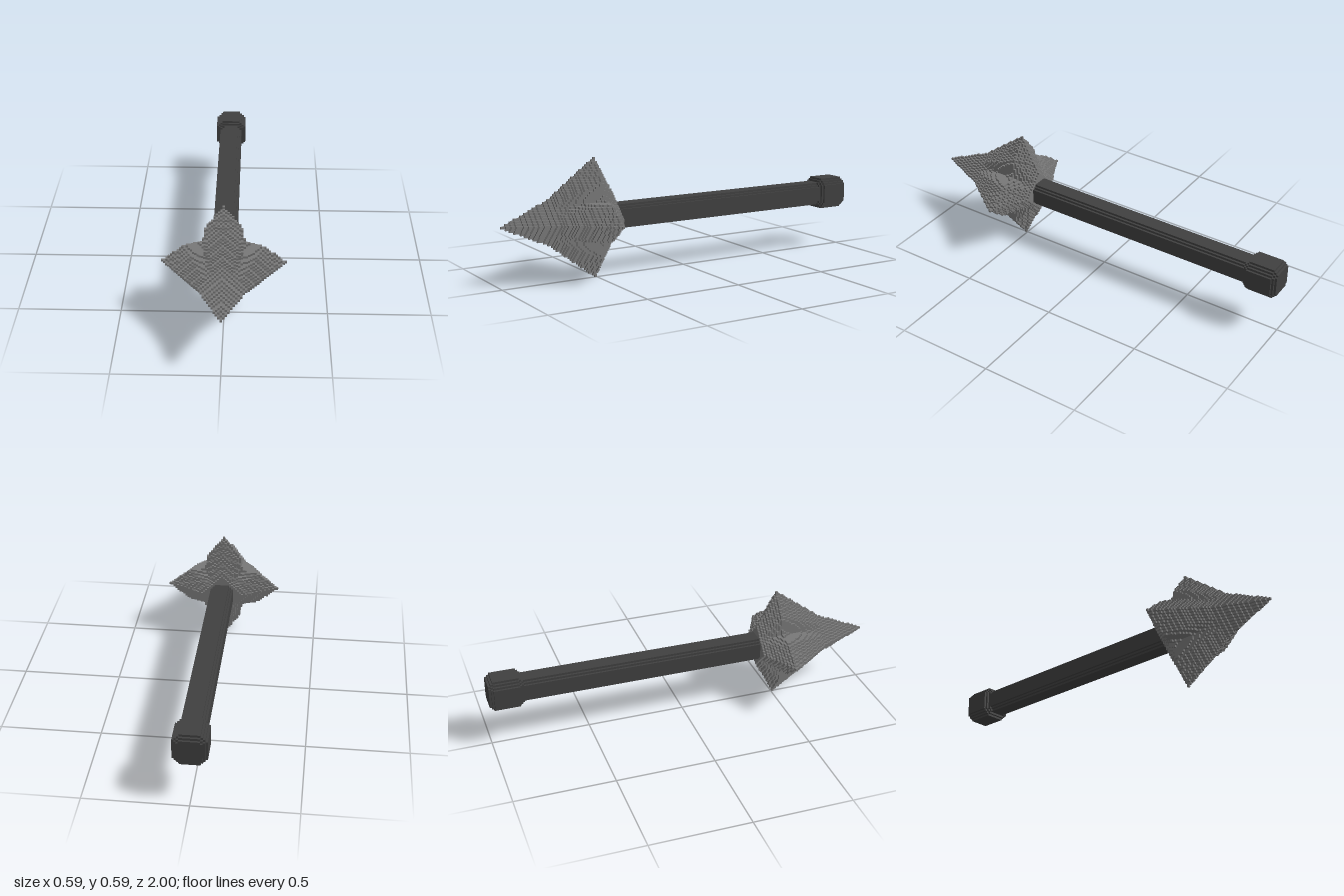
import * as THREE from 'three';

// The arrow is made of small cubes: 185 layers long, 55 cells across the head
const LAYERS = 185, CELL = 2 / LAYERS, MID_Y = 27.5 * CELL;

// Skin of all cells (i, j, k) for which inside(i, j, k) is true
function cubeSkin(name, color, k0, k1, reach, inside) {
  const solid = (c) => c[2] >= k0 && c[2] <= k1 && inside(Math.abs(c[0]), Math.abs(c[1]), c[2]);
  const pos = [], nor = [], index = [];
  const addFace = (cell, axis, sign) => {
    const u = (axis + 1) % 3, v = (axis + 2) % 3, start = pos.length / 3;
    for (const [a, b] of [[-1, -1], [1, -1], [1, 1], [-1, 1]]) {
      const p = [...cell], n = [0, 0, 0];
      p[axis] += sign / 2;
      p[u] += (a * sign) / 2;
      p[v] += b / 2;
      n[axis] = sign;
      pos.push(p[0] * CELL, p[1] * CELL + MID_Y, (p[2] + 0.5) * CELL - 1);
      nor.push(...n);
    }
    index.push(start, start + 1, start + 2, start, start + 2, start + 3);
  };
  for (let k = k0; k <= k1; k++)
    for (let i = -reach; i <= reach; i++)
      for (let j = -reach; j <= reach; j++) {
        const cell = [i, j, k];
        if (!solid(cell)) continue;
        for (let axis = 0; axis < 3; axis++)
          for (const sign of [-1, 1]) {
            const next = [...cell];
            next[axis] += sign;
            if (!solid(next)) addFace(cell, axis, sign);
          }
      }
  const geo = new THREE.BufferGeometry();
  geo.setAttribute('position', new THREE.Float32BufferAttribute(pos, 3));
  geo.setAttribute('normal', new THREE.Float32BufferAttribute(nor, 3));
  geo.setIndex(index);
  const mesh = new THREE.Mesh(geo, new THREE.MeshStandardMaterial({ color }));
  mesh.name = name;
  return mesh;
}

// Head sections: layer, blade reach, shoulder distance, shoulder half width, notch
const SECTIONS = [
  [130, 10.2, 7.2, 3.4, 5.2],
  [139, 27.3, 16.4, 8.3, 9.3],
  [148, 20.6, 13, 7.6, 8.4],
  [161, 10.8, 8, 2.8, 5.4],
  [184, 0.3, 0.2, 0.1, 0.15],
];

// Four-bladed star, interpolated between sections
function insideHead(i, j, k) {
  let s = 0;
  while (s < SECTIONS.length - 2 && k > SECTIONS[s + 1][0]) s++;
  const A = SECTIONS[s], B = SECTIONS[s + 1], t = (k - A[0]) / (B[0] - A[0]);
  const [, reach, shoulder, width, notch] = A.map((v, n) => v + (B[n] - v) * t);
  const a = Math.max(i, j), b = Math.min(i, j);
  if (a <= notch) return true;
  if (a > reach) return false;
  if (a >= shoulder) return b <= (width * (reach - a)) / (reach - shoulder);
  return b <= width + ((notch - width) * (shoulder - a)) / (shoulder - notch);
}

// Square rod with cut corners
const insideShaft = (i, j) => Math.max(i, j) <= 5 && i + j <= 8;

// End knob, chamfered at both ends
function insideKnob(i, j, k) {
  const half = 7 - Math.max(0, 2 - k, k - 13);
  return Math.max(i, j) <= half && i + j <= half + 4;
}

export function createModel() {
  const group = new THREE.Group();
  group.name = 'arrow';
  group.add(
    cubeSkin('head', 0x787878, 130, 184, 28, insideHead),
    cubeSkin('shaft', 0x404040, 15, 130, 6, insideShaft),
    cubeSkin('endKnob', 0x404040, 0, 15, 8, insideKnob),
  );
  return group;
}
